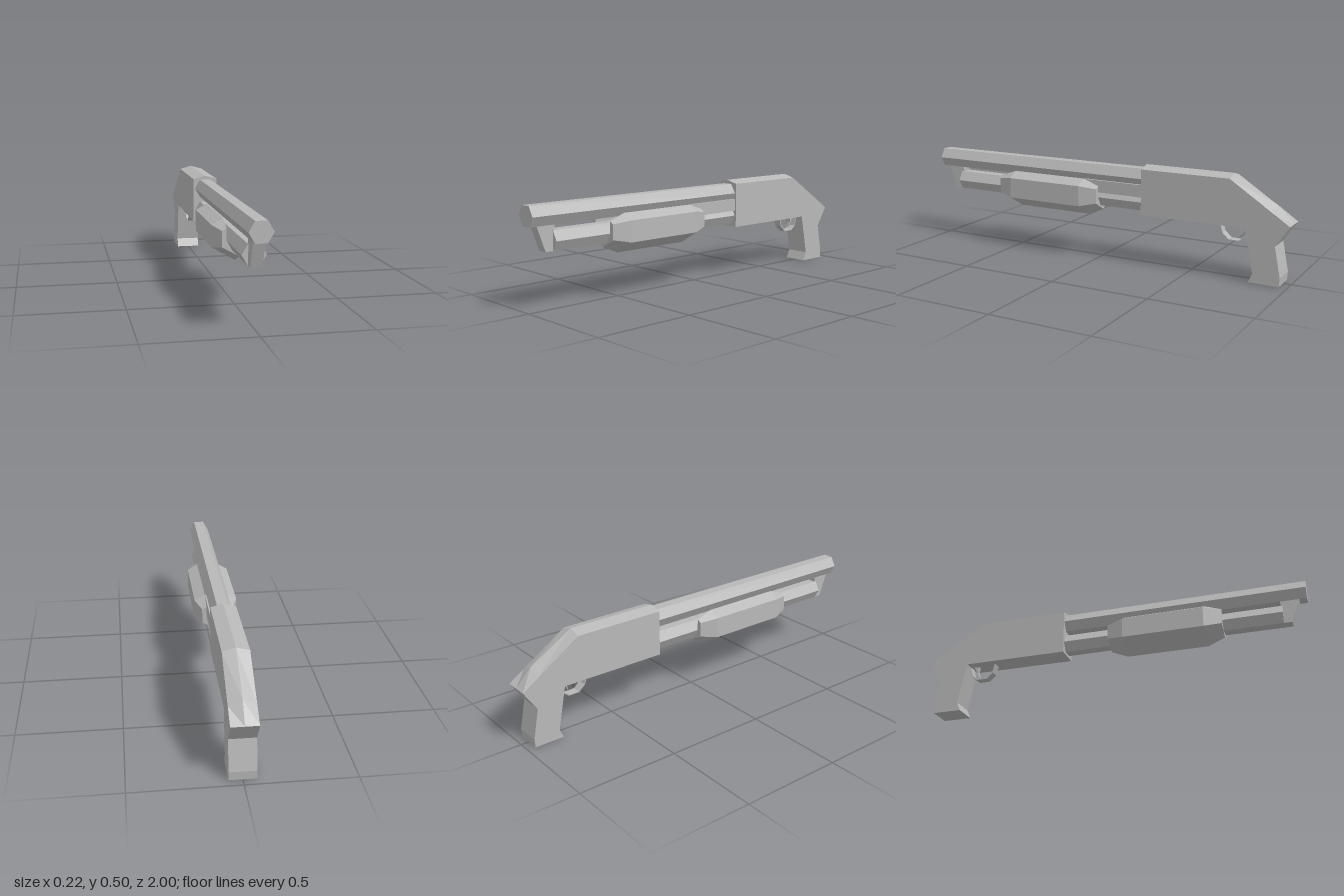
import * as THREE from 'three';

// Joins matching counter-clockwise rings [x, y] along z with flat facets and capped ends.
function loft(stations) {
  const pos = [];
  const at = (s, j) => {
    const p = s.pts[j % s.pts.length];
    return [p[0], p[1], s.w];
  };
  const tri = (a, b, c) => pos.push(...a, ...b, ...c);
  for (let i = 0; i + 1 < stations.length; i++) {
    const s = stations[i], t = stations[i + 1];
    for (let j = 0; j < s.pts.length; j++) {
      tri(at(s, j), at(s, j + 1), at(t, j + 1));
      tri(at(s, j), at(t, j + 1), at(t, j));
    }
  }
  const first = stations[0], last = stations[stations.length - 1];
  const faces = (s) =>
    THREE.ShapeUtils.triangulateShape(s.pts.map((p) => new THREE.Vector2(p[0], p[1])), []);
  for (const [a, b, c] of faces(first)) tri(at(first, c), at(first, b), at(first, a));
  for (const [a, b, c] of faces(last)) tri(at(last, a), at(last, b), at(last, c));
  const geo = new THREE.BufferGeometry();
  geo.setAttribute('position', new THREE.Float32BufferAttribute(pos, 3));
  geo.computeVertexNormals();
  return geo;
}

// Side profile in (-z, y), spread across x.
const sideSlab = (pts, half) =>
  loft([{ w: -half, pts }, { w: half, pts }]).rotateY(Math.PI / 2);

// Six-sided rod along z with its corners at the sides.
function hexRod(radius, y, z0, z1) {
  const geo = new THREE.CylinderGeometry(radius, radius, z1 - z0, 6, 1, false, Math.PI / 2)
    .rotateX(Math.PI / 2)
    .translate(0, y, (z0 + z1) / 2)
    .toNonIndexed();
  geo.computeVertexNormals();
  return geo;
}

export function createModel() {
  const group = new THREE.Group();
  const grey = new THREE.MeshStandardMaterial({ color: 0xb8b8b8 });
  grey.name = 'grey';
  const add = (name, geo) => {
    const mesh = new THREE.Mesh(geo, grey);
    mesh.name = name;
    group.add(mesh);
  };

  // Upper barrel and the shorter tube beneath it
  add('barrel', hexRod(0.054, 0.435, -0.25, 1));
  add('magazineTube', hexRod(0.054, 0.317, -0.25, 0.88));

  // Slanted bracket joining the two at the front
  add('frontBracket', sideSlab(
    [[-0.92, 0.27], [-0.87, 0.27], [-0.87, 0.395], [-0.965, 0.395]], 0.026));

  // Receiver and grip in one body, with a shallow ridge along the top
  const body = (ridge) => [
    [0.245, 0.257], [0.787, 0.257], [0.83, 0.045], [0.81, 0], [0.96, 0], [0.963, 0.042],
    [0.933, 0.19], [1, 0.29],
    [0.92, ridge ? 0.372 : 0.3425], [0.703, ridge ? 0.502 : 0.485], [0.245, ridge ? 0.502 : 0.485],
  ];
  add('receiverAndGrip', loft([
    { w: -0.062, pts: body(false) },
    { w: 0, pts: body(true) },
    { w: 0.062, pts: body(false) },
  ]).rotateY(Math.PI / 2));

  // Sliding grip: an open trough around the tube, tapered at both ends
  const trough = (x, bottom, low, high, top) => [
    [0, bottom], [x, low], [x, high], [0.055, top], [0.055, 0.317], [0.028, 0.27],
    [-0.028, 0.27], [-0.055, 0.317], [-0.055, top], [-x, high], [-x, low],
  ];
  const end = trough(0.077, 0.246, 0.289, 0.363, 0.376);
  const middle = trough(0.108, 0.21, 0.272, 0.376, 0.406);
  add('slidingGrip', loft([
    { w: 0, pts: end }, { w: 0.085, pts: middle },
    { w: 0.5, pts: middle }, { w: 0.585, pts: end },
  ]));

  // Action bar on the left side, from sliding grip to receiver
  add('actionBar', new THREE.BoxGeometry(0.012, 0.062, 0.33).translate(0.049, 0.374, -0.085));

  // Trigger guard: a thin bent strip
  const outer = [[0.64, 0.26], [0.655, 0.21], [0.69, 0.178], [0.745, 0.178], [0.775, 0.2], [0.79, 0.26]];
  const inner = [[0.785, 0.26], [0.77, 0.203], [0.743, 0.183], [0.692, 0.183], [0.66, 0.213], [0.646, 0.26]];
  add('triggerGuard', sideSlab([...outer, ...inner], 0.021));

  // Trigger
  add('trigger', sideSlab([[0.738, 0.196], [0.77, 0.26], [0.742, 0.26], [0.746, 0.225]], 0.01));

  return group;
}
